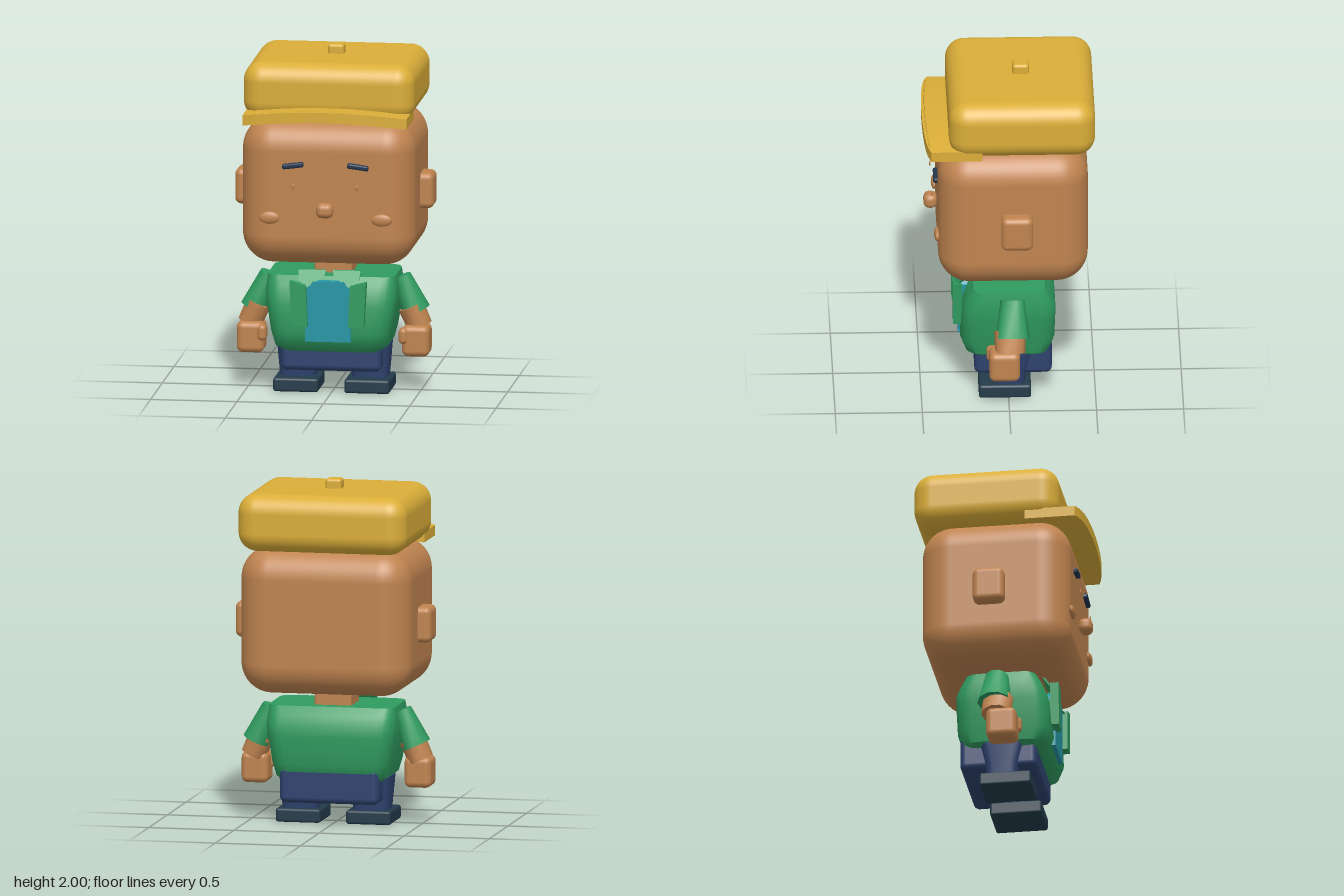
import * as THREE from 'three';
import { RoundedBoxGeometry } from 'three/addons/geometries/RoundedBoxGeometry.js';
import { toCreasedNormals } from 'three/addons/utils/BufferGeometryUtils.js';

const mat = (name, color) => {
  const m = new THREE.MeshStandardMaterial({ color });
  m.name = name;
  return m;
};

// Stack of rounded-rectangle sections: [y, halfWidth, frontZ, backZ, cornerRadius]
function loft(sections, steps = 4) {
  const pos = [], idx = [];
  const n = 4 * (steps + 1);
  for (const [y, hw, zf, zb, r] of sections) {
    const cz = (zf + zb) / 2, hd = (zf - zb) / 2;
    for (let q = 0; q < 4; q++) {
      const sx = q === 0 || q === 3 ? 1 : -1, sz = q < 2 ? 1 : -1;
      for (let k = 0; k <= steps; k++) {
        const a = (q + k / steps) * Math.PI / 2;
        pos.push(sx * (hw - r) + r * Math.cos(a), y, cz + sz * (hd - r) + r * Math.sin(a));
      }
    }
  }
  for (let s = 0; s < sections.length - 1; s++) {
    for (let i = 0; i < n; i++) {
      const a = s * n + i, b = s * n + (i + 1) % n;
      idx.push(a, a + n, b, b, a + n, b + n);
    }
  }
  const last = (sections.length - 1) * n;
  for (let i = 1; i < n - 1; i++) {
    idx.push(0, i, i + 1);
    idx.push(last, last + i + 1, last + i);
  }
  const g = new THREE.BufferGeometry();
  g.setAttribute('position', new THREE.Float32BufferAttribute(pos, 3));
  g.setIndex(idx);
  return toCreasedNormals(g, 0.7);
}

// Flat outline extruded along z, mirrored by s
function plate(points, depth, s = 1) {
  const shape = new THREE.Shape(points.map(([x, y]) => new THREE.Vector2(x * s, y)));
  return new THREE.ExtrudeGeometry(shape, { depth, bevelEnabled: false });
}

export function createModel() {
  const root = new THREE.Group();
  root.name = 'figure';
  const skin = mat('skin', 0xc08450);
  const yellow = mat('cap yellow', 0xdbae39);
  const green = mat('jacket green', 0x2f9c60);
  const teal = mat('shirt teal', 0x2596a6);
  const navy = mat('trouser navy', 0x2e426e);
  const slate = mat('shoe slate', 0x243b4a);
  const dark = mat('brow dark', 0x22344c);

  const add = (name, geo, m, x = 0, y = 0, z = 0) => {
    const mesh = new THREE.Mesh(geo, m);
    mesh.name = name;
    mesh.position.set(x, y, z);
    root.add(mesh);
    return mesh;
  };
  // Rounded box given by its limits on each axis
  const box = (name, m, r, [x0, x1], [y0, y1], [z0, z1], seg = 4) =>
    add(name, new RoundedBoxGeometry(x1 - x0, y1 - y0, z1 - z0, seg, r), m,
      (x0 + x1) / 2, (y0 + y1) / 2, (z0 + z1) / 2);
  const side = (s, a, b) => (s > 0 ? [a, b] : [-b, -a]);

  // Head, nose and neck
  box('head', skin, 0.18, [-0.5, 0.5], [0.775, 1.625], [-0.455, 0.405], 8);
  box('nose', skin, 0.035, [-0.05, 0.05], [1.075, 1.162], [0.4, 0.48]);
  box('neck', skin, 0.02, [-0.11, 0.11], [0.66, 0.82], [-0.14, 0.09]);

  // Cap with button and arched brim
  box('capCrown', yellow, 0.11, [-0.495, 0.495], [1.61, 1.945], [-0.495, 0.345], 6);
  box('capButton', yellow, 0.018, [-0.047, 0.047], [1.93, 2], [-0.125, -0.03]);
  const brim = new THREE.BoxGeometry(0.95, 0.06, 1, 20, 1, 1);
  const p = brim.attributes.position;
  for (let i = 0; i < p.count; i++) {
    const u = p.getX(i) / 0.475;
    p.setY(i, p.getY(i) + 1.668 - 0.033 * u * u);
    p.setZ(i, p.getZ(i) > 0 ? 0.492 - 0.025 * u * u - 0.02 * u ** 8 : 0.155);
  }
  add('capBrim', toCreasedNormals(brim, 0.6), yellow);
  const seam = new THREE.CatmullRomCurve3([-1, -0.5, 0, 0.5, 1].map((t) => {
    const u = t * 0.88;
    return new THREE.Vector3(u * 0.475, 1.698 - 0.033 * u * u, 0.475 - 0.025 * u * u);
  }));
  add('brimSeam', new THREE.TubeGeometry(seam, 24, 0.004, 6), yellow);

  // Jacket body, shirt front and hips
  add('jacketBody', loft([
    [0.25, 0.28, 0.21, -0.215, 0.07],
    [0.28, 0.325, 0.245, -0.24, 0.09],
    [0.36, 0.345, 0.275, -0.265, 0.1],
    [0.52, 0.372, 0.265, -0.27, 0.1],
    [0.58, 0.378, 0.255, -0.27, 0.1],
    [0.64, 0.375, 0.23, -0.24, 0.09],
    [0.69, 0.368, 0.2, -0.21, 0.07],
  ]), green);
  add('shirtFront', plate([[-0.135, 0.32], [0.13, 0.32], [0.128, 0.63], [0.09, 0.67],
    [-0.09, 0.67], [-0.128, 0.63]], 0.06), teal, 0, 0, 0.225);
  box('hips', navy, 0.035, [-0.29, 0.29], [0.13, 0.345], [-0.25, 0.195]);

  for (const s of [1, -1]) {
    const L = s > 0 ? 'left' : 'right';

    // Face details and ears
    box(L + 'Ear', skin, 0.035, side(s, 0.45, 0.575), [1.065, 1.272], [-0.135, 0.047]);
    const brow = box(L + 'Brow', dark, 0.01, side(s, 0.127, 0.25), [1.356, 1.386], [0.395, 0.43], 2);
    brow.rotation.z = -s * 0.13;
    add(L + 'Eye', new THREE.SphereGeometry(1, 12, 8), skin, s * 0.184, 1.255, 0.437).scale.set(0.009, 0.016, 0.005);
    add(L + 'Cheek', new THREE.SphereGeometry(1, 20, 12), skin, s * 0.325, 1.063, 0.41).scale.set(0.06, 0.036, 0.018);

    // Jacket opening strip and folded collar
    add(L + 'JacketStrip', plate([[0.118, 0.41], [0.208, 0.418], [0.222, 0.675], [0.128, 0.652]], 0.05, s),
      green, 0, 0, 0.265);
    const collar = plate([[0.02, 0.73], [0.028, 0.695], [0.13, 0.635], [0.175, 0.68], [0.18, 0.73]], 0.015, s);
    const c = collar.attributes.position;
    for (let i = 0; i < c.count; i++) c.setZ(i, c.getZ(i) + 0.285 - 0.75 * (c.getY(i) - 0.635));
    collar.computeVertexNormals();
    add(L + 'Collar', collar, green);

    // Arm, hand and thumb
    const sleeve = add(L + 'Sleeve', toCreasedNormals(new THREE.CylinderGeometry(0.057, 0.082, 0.22, 10), 0.8),
      green, s * 0.425, 0.557, -0.02);
    const forearm = add(L + 'Forearm', toCreasedNormals(new THREE.CylinderGeometry(0.076, 0.072, 0.13, 10), 0.8),
      skin, s * 0.466, 0.43, -0.005);
    for (const part of [sleeve, forearm]) {
      part.rotation.z = s * 0.42;
      part.scale.z = 1.2;
    }
    box(L + 'Hand', skin, 0.035, side(s, 0.4, 0.557), [0.21, 0.39], [-0.06, 0.115]);
    box(L + 'Thumb', skin, 0.025, side(s, 0.383, 0.435), [0.285, 0.378], [0.04, 0.13]);

    // Leg and shoe
    add(L + 'Leg', loft([
      [0.05, 0.1, 0.085, -0.095, 0.045],
      [0.15, 0.11, 0.09, -0.1, 0.045],
      [0.275, 0.117, 0.12, -0.13, 0.05],
    ]), navy, s * 0.208);
    box(L + 'Shoe', slate, 0.015, side(s, 0.075, 0.337), [0, 0.08], [-0.13, 0.17], 2);
  }
  return root;
}
